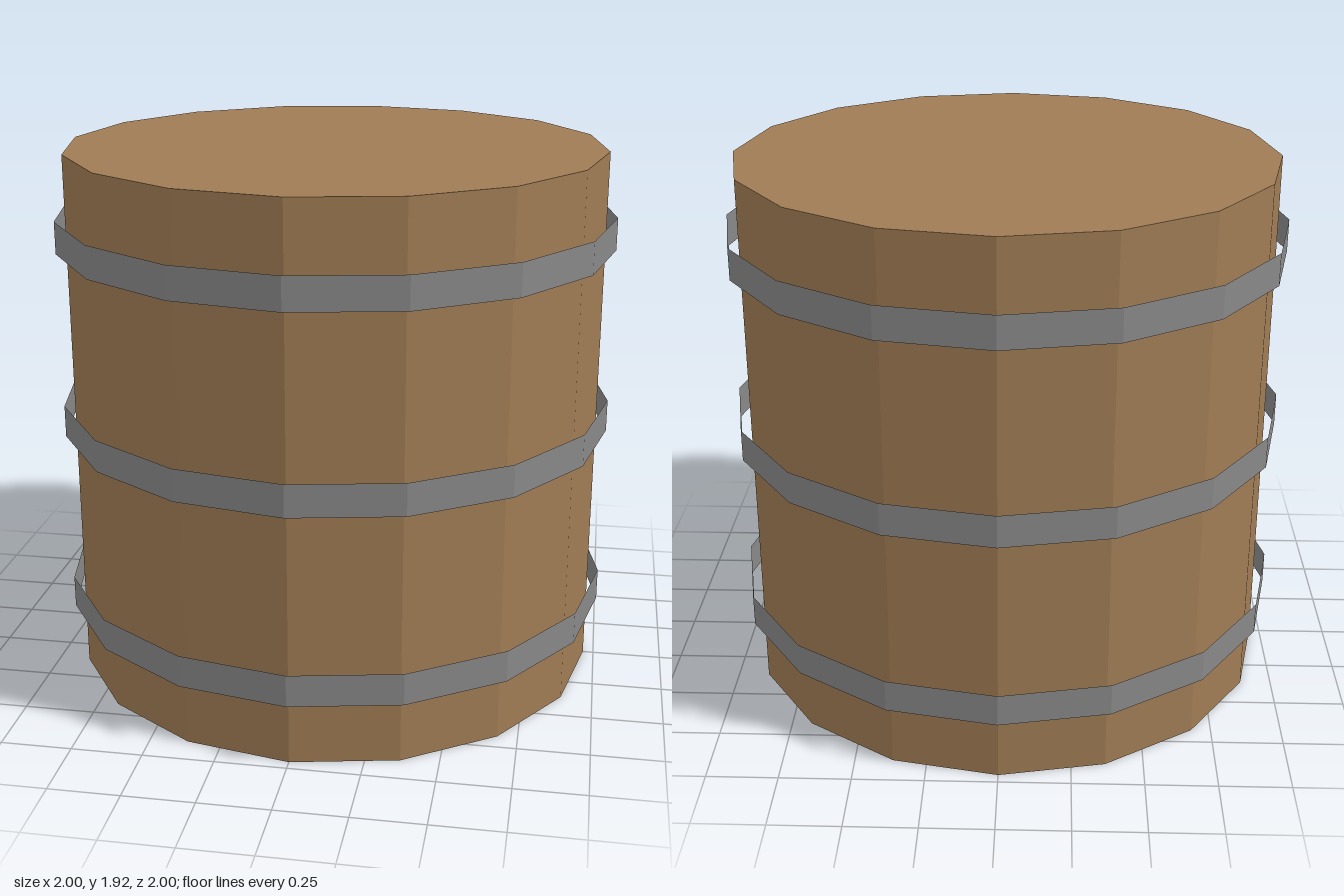
import * as THREE from 'three';

const SIDES = 16;
const HEIGHT = 1.923;

export function createModel() {
  const barrel = new THREE.Group();
  barrel.name = 'barrel';

  const wood = new THREE.MeshStandardMaterial({ color: 0xa07c54, flatShading: true });
  const metal = new THREE.MeshStandardMaterial({
    color: 0x888888, flatShading: true, side: THREE.DoubleSide,
  });

  // Straight-sided wooden body with closed ends
  const body = new THREE.Mesh(
    new THREE.CylinderGeometry(0.9615, 0.9615, HEIGHT, SIDES), wood);
  body.name = 'body';
  body.position.y = HEIGHT / 2;
  barrel.add(body);

  // Three thin open hoops standing slightly off the body
  const hoopGeometry = new THREE.CylinderGeometry(1, 1, 0.115, SIDES, 1, true);
  ['lowerHoop', 'middleHoop', 'upperHoop'].forEach((name, i) => {
    const hoop = new THREE.Mesh(hoopGeometry, metal);
    hoop.name = name;
    hoop.position.y = HEIGHT / 2 + (i - 1) * 0.673;
    barrel.add(hoop);
  });

  return barrel;
}
